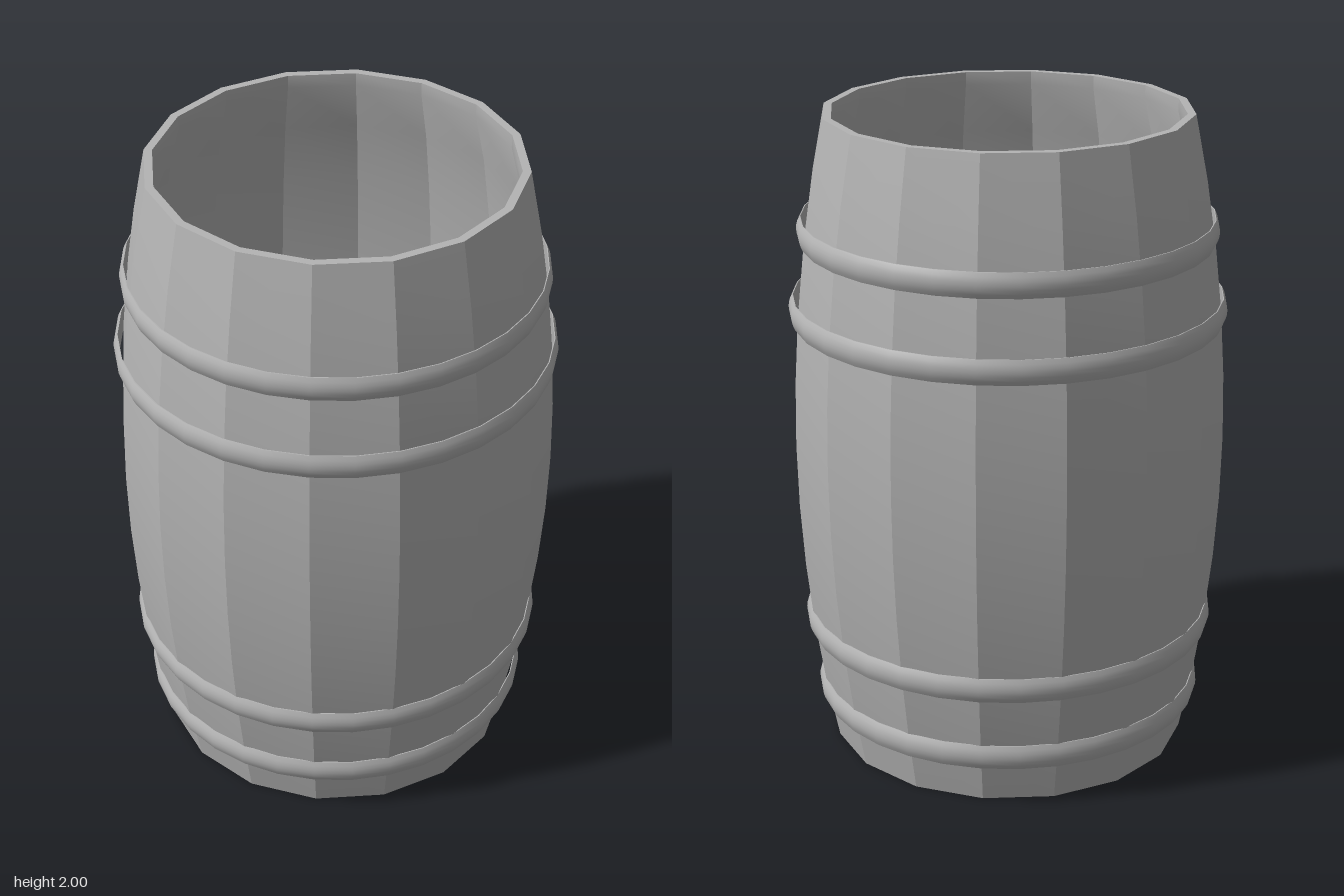
import * as THREE from 'three';
import { toCreasedNormals } from 'three/addons/utils/BufferGeometryUtils.js';

const SIDES = 16;
const WALL = 0.025;
const RECESS = 0.04;

// Bulging barrel profile: widest at mid height
const radiusAt = (y) => 0.555 + 0.109 * (1 - (y - 1) ** 2);

function lathe(points, segments) {
  return new THREE.LatheGeometry(points.map(([r, y]) => new THREE.Vector2(r, y)), segments);
}

export function createModel() {
  const model = new THREE.Group();
  const grey = new THREE.MeshStandardMaterial({ color: 0xb4b4b4, side: THREE.DoubleSide });
  grey.name = 'barrel grey';

  const add = (name, geometry) => {
    const mesh = new THREE.Mesh(geometry, grey);
    mesh.name = name;
    model.add(mesh);
    return mesh;
  };

  // Staves: outer wall up, flat rim, then inner wall down, closed at the bottom rim
  const outer = [];
  const steps = 10;
  for (let i = 0; i <= steps; i++) {
    const y = (2 * i) / steps;
    outer.push([radiusAt(y), y]);
  }
  const inner = outer.slice(1, -1).reverse().map(([r, y]) => [r - WALL, y]);
  const lip = radiusAt(0) - WALL;
  const profile = [
    ...outer,
    [lip, 2], [lip, 2 - RECESS],
    ...inner,
    [lip, RECESS], [lip, 0], [radiusAt(0), 0],
  ];
  // Sharp edges between staves, smooth along their length
  add('staves', toCreasedNormals(lathe(profile, SIDES), 0.3));

  // Floor set slightly above the bottom rim
  const floor = add('floor', toCreasedNormals(
    new THREE.CylinderGeometry(lip + 0.004, lip + 0.004, 0.02, SIDES), 0.3));
  floor.position.y = RECESS + 0.01;

  // Hoops: rounder bands with a softly bulged outer face
  const hoops = [[0.162, 0.605], [0.402, 0.64], [1.402, 0.665], [1.645, 0.635]];
  const half = 0.038;
  hoops.forEach(([y, r], i) => {
    const band = [[r - 0.014, y - half]];
    for (let k = 0; k <= 6; k++) {
      const t = -1 + k / 3;
      band.push([r - 0.011 * t * t, y + half * t]);
    }
    band.push([r - 0.014, y + half], [r - 0.014, y - half]);
    add(`hoop${i + 1}`, toCreasedNormals(lathe(band, 32), 0.6));
  });

  return model;
}
